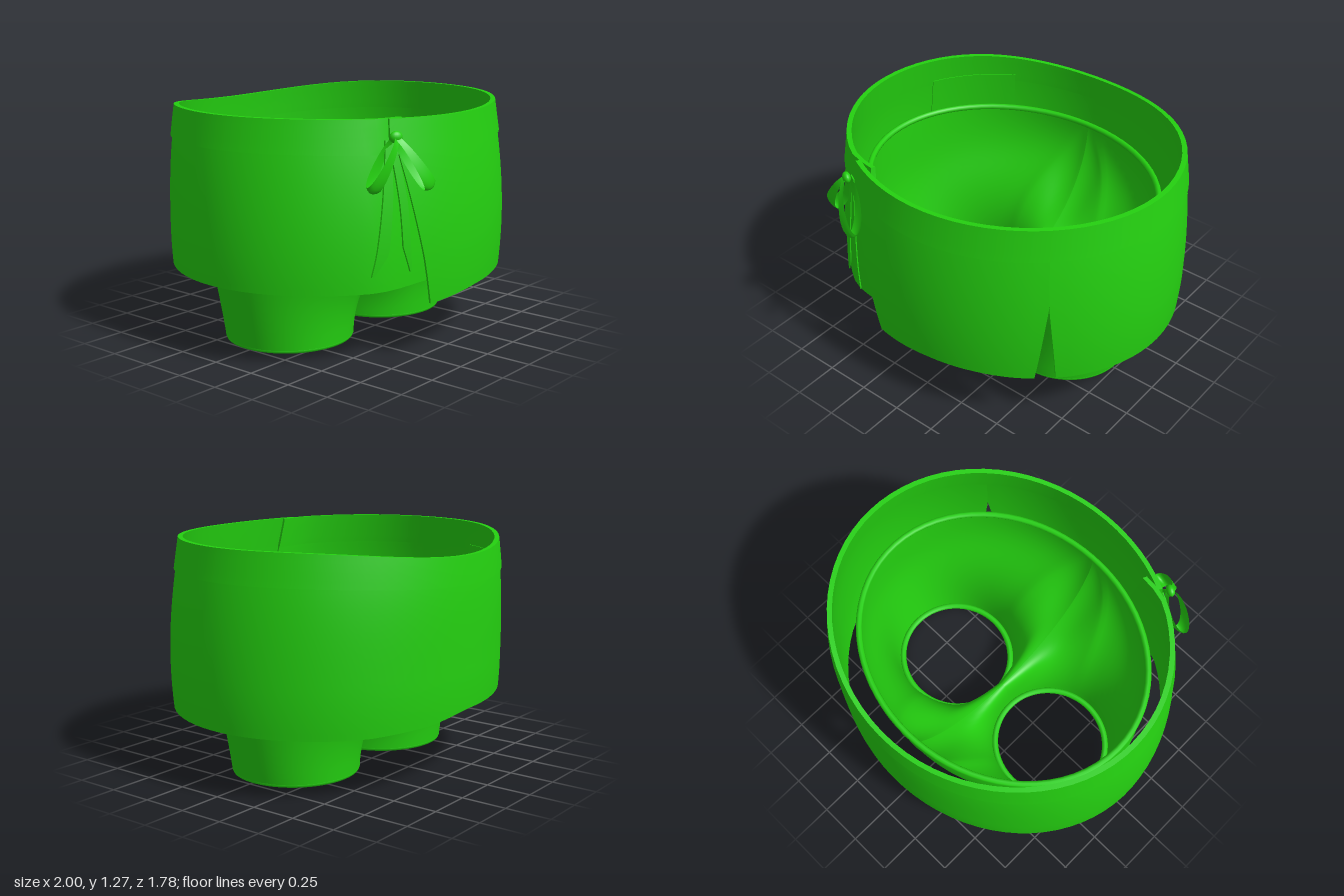
import * as THREE from 'three';
import { mergeGeometries } from 'three/addons/utils/BufferGeometryUtils.js';

const TAU = Math.PI * 2;
const { lerp, smoothstep } = THREE.MathUtils;
const V = (x, y, z) => new THREE.Vector3(x, y, z);

// Piecewise linear lookup in a list of [key, value] pairs
function look(pairs, k) {
  if (k <= pairs[0][0]) return pairs[0][1];
  for (let i = 1; i < pairs.length; i++) {
    const [a, p] = pairs[i - 1], [b, q] = pairs[i];
    if (k <= b) return lerp(p, q, (k - a) / (b - a));
  }
  return pairs[pairs.length - 1][1];
}

// Surface grid from a function of u and v
function grid(fn, nu, nv) {
  const pos = [], idx = [];
  for (let i = 0; i <= nu; i++)
    for (let j = 0; j <= nv; j++) pos.push(...fn(i / nu, j / nv).toArray());
  const w = nv + 1;
  for (let i = 0; i < nu; i++)
    for (let j = 0; j < nv; j++) {
      const a = i * w + j, b = a + w;
      idx.push(a, b, b + 1, a, b + 1, a + 1);
    }
  const g = new THREE.BufferGeometry();
  g.setAttribute('position', new THREE.Float32BufferAttribute(pos, 3));
  g.setIndex(idx);
  g.computeVertexNormals();
  return g;
}

// Sheet of cloth with thickness: fn(u, v, depth), depth 0 outside and 1 inside
function cloth(fn, nu, nv) {
  return mergeGeometries([
    grid((u, v) => fn(u, v, 0), nu, nv),
    grid((u, v) => fn(1 - u, v, 1), nu, nv),
    grid((u, d) => fn(u, 0, 1 - d), nu, 1),
    grid((u, d) => fn(u, 1, d), nu, 1),
    grid((d, v) => fn(0, v, 1 - d), 1, nv),
    grid((d, v) => fn(1, v, d), 1, nv),
  ]);
}

// Skirt outline: angle 0 is the front, growing towards +x
const bodyRadius = (y) => 1 - (y > 0.6 ? 0.15 : 0.2) * (y - 0.6) ** 2;
const bandRadius = (y) => look([[1.06, 0.978], [1.1, 0.972], [1.27, 0.946]], y);
const zRatio = (y) => lerp(0.875, 0.885, smoothstep(y, 0.6, 1.27));
const zShift = (y) => lerp(-0.012, -0.028, smoothstep(y, 0.6, 1.27));
const hemLine = [[-0.27, 0.3], [0.1, 0.332], [0.4, 0.34], [2.45, 0.34], [2.85, 0.365], [3.1, 0.4], [7, 0.4]];
const wrapEdge = [[0.3, -0.27], [0.55, -0.325], [0.95, -0.43], [1.2, -0.5]];
const innerEdge = (y) => TAU - look([[0.4, 0.22], [1.25, 0.42]], y);
const seam = (t) => { const c = Math.cos(t); return 1.1 - (c > 0 ? 0.022 : 0.04) * c ** 4; };
const top = (t) => { const c = Math.cos(t); return 1.27 - (c > 0 ? 0.014 : 0.06) * c ** 4; };
const under = (t) => 1 - 0.1 * smoothstep(t, TAU - 0.65, TAU - 0.22);

function onSkirt(radius, t, y, scale = 1) {
  const r = radius(y) * scale * under(t);
  return V(r * Math.sin(t), y, zRatio(y) * r * Math.cos(t) + zShift(y));
}

// Skirt panel between two side edges, each an angle depending on height
function panel(from, to, nu) {
  return cloth((u, v, d) => {
    const t0 = lerp(from(0.34), to(0.34), u);
    const y = lerp(look(hemLine, t0), seam(t0) + 0.012, v);
    return onSkirt(bodyRadius, lerp(from(y), to(y), u), y, 1 - 0.016 * d);
  }, nu, 24);
}

// Closed rolled edge around an ellipse
function rolledEdge(cx, cy, cz, rx, rz, r) {
  const pts = [];
  for (let i = 0; i < 48; i++) {
    const a = (i / 48) * TAU;
    pts.push(V(cx + rx * Math.sin(a), cy, cz + rz * Math.cos(a)));
  }
  return new THREE.TubeGeometry(new THREE.CatmullRomCurve3(pts, true), 72, r, 8, true);
}

// One half of the shorts: from the cuff ring up to the waist rim and the middle curve
const rimY = 0.965;
function shortsHalf(s) {
  const split = 1.9;
  return grid((u, v) => {
    const a = lerp(-Math.PI, Math.PI, u);
    const k = Math.min(1, Math.abs(a) / split);
    const p0 = V(s * (0.402 + 0.355 * Math.cos(a)), 0.018, 0.345 * Math.sin(a));
    let p3, out;
    if (Math.abs(a) <= split) {
      const t = (a / split) * Math.PI / 2;
      p3 = V(s * 0.85 * Math.cos(t), rimY, 0.72 * Math.sin(t));
      out = V(s * 0.24 * k ** 4, -0.4, 0);
    } else {
      const f = ((Math.PI - Math.abs(a)) / (Math.PI - split)) * Math.sign(a);
      const t = f * Math.PI / 2;
      p3 = V(0, rimY - (rimY - 0.28) * Math.cos(t), 0.72 * Math.sin(t));
      out = V(s * lerp(0.035, 0.24, Math.abs(f)), -0.4 * f ** 4, 0);
    }
    const lift = lerp(0.18, 0.58, (p3.y - 0.28) / (rimY - 0.28));
    const p1 = p0.clone().add(V(s * 0.12 * Math.max(0, Math.cos(a)), lift, 0.03 * Math.sin(a)));
    const p = new THREE.CubicBezierCurve3(p0, p1, p3.clone().add(out), p3).getPoint(v);
    return p.add(V(-0.012, 0, -0.02));
  }, 80, 24);
}

// Folded ribbon loop that hangs from the knot along dir
function bowLoop(knot, dir, side) {
  const depth = V(-0.35, 0, 0.94).multiplyScalar(0.045);
  return grid((u, v) => {
    const along = (1 - Math.cos(u * TAU)) / 2;
    const half = lerp(0.014, 0.042, along);
    const w = v * 2 - 1;
    return knot.clone().addScaledVector(dir, along * (1 - 0.06 * w * w))
      .addScaledVector(depth, Math.sin(u * TAU))
      .addScaledVector(side, w * half);
  }, 32, 6);
}

// Hanging ribbon: rows of [y, left x, right x] laid over the skirt
function tail(rows) {
  const lefts = rows.map(([y, l]) => [y, l]), rights = rows.map(([y, , r]) => [y, r]);
  return cloth((u, v, d) => {
    const y = lerp(rows[0][0], rows[rows.length - 1][0], u);
    const x = lerp(look(lefts, y), look(rights, y), v);
    const z = zRatio(y) * Math.sqrt(bodyRadius(y) ** 2 - x * x) + zShift(y);
    return V(x, y, z + 0.022 - 0.008 * d);
  }, 20, 2);
}

export function createModel() {
  const green = new THREE.MeshStandardMaterial({ color: 0x24d010, side: THREE.DoubleSide });
  green.name = 'green cloth';
  const model = new THREE.Group();
  model.name = 'wrapSkirtWithShorts';
  const add = (name, geometry, parent = model) => {
    const mesh = new THREE.Mesh(geometry, green);
    mesh.name = name;
    parent.add(mesh);
    return mesh;
  };

  // Skirt panels, parted by a narrow slit; the wrap panel ends beneath the front panel
  const slit = (y) => Math.max(0, (0.82 - y) / 0.48);
  add('frontPanel', panel((y) => look(wrapEdge, y), (y) => 0.8 - 0.07 * slit(y), 18));
  add('wrapPanel', panel((y) => 0.8 + 0.05 * slit(y), innerEdge, 64));

  // Waistband
  add('waistband', cloth((u, v, d) => {
    const t0 = lerp(-0.52, TAU - 0.4, u);
    const y = lerp(seam(t0), top(t0), v);
    return onSkirt(bandRadius, lerp(-0.52, innerEdge(y), u), y, 1 - 0.03 * d);
  }, 72, 4));

  // Flat patch on the inside of the back
  add('innerPatch', cloth((u, v, d) =>
    onSkirt(bodyRadius, lerp(3.75, 4.33, u), lerp(0.85, 1.13, v), 0.974 - 0.006 * d), 10, 2));

  // Shorts
  const shorts = new THREE.Group();
  shorts.name = 'shorts';
  model.add(shorts);
  for (const s of [1, -1]) {
    const side = s > 0 ? 'left' : 'right';
    add(side + 'ShortsLeg', shortsHalf(s), shorts);
    add(side + 'Cuff', rolledEdge(s * 0.402 - 0.012, 0.018, -0.02, 0.338, 0.328, 0.018), shorts);
  }
  add('shortsWaistEdge', rolledEdge(-0.012, rimY, -0.02, 0.84, 0.71, 0.017), shorts);

  // Bow
  const bow = new THREE.Group();
  bow.name = 'bow';
  model.add(bow);
  const knot = V(-0.49, 1.18, 0.755);
  add('rightLoop', bowLoop(knot, V(-0.155, -0.26, -0.03), V(0.9, -0.42, 0.1)), bow);
  add('leftLoop', bowLoop(knot, V(0.135, -0.26, 0.12), V(0.9, 0.42, 0.1)), bow);
  add('rightTail', tail([[0.49, -0.605, -0.595], [0.6, -0.585, -0.53], [0.9, -0.545, -0.5], [1.16, -0.51, -0.485]]), bow);
  add('leftTail', tail([[0.5, -0.42, -0.412], [0.63, -0.46, -0.42], [0.85, -0.47, -0.43], [1.16, -0.495, -0.465]]), bow);
  const knotMesh = add('knot', new THREE.SphereGeometry(1, 16, 10), bow);
  knotMesh.scale.set(0.035, 0.03, 0.022);
  knotMesh.position.copy(knot);
  knotMesh.rotation.y = -0.5;
  return model;
}
